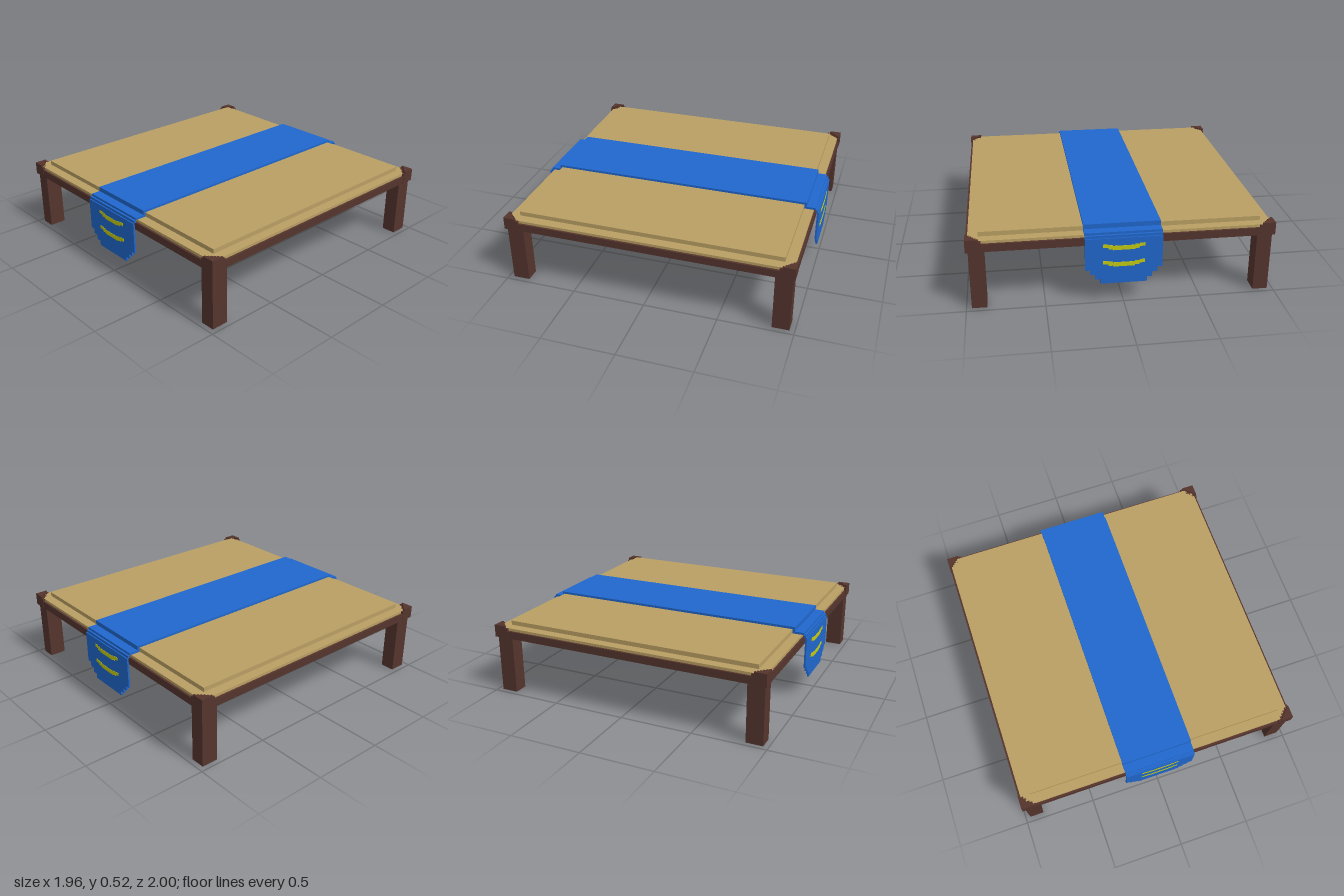
import * as THREE from 'three';

export function createModel() {
  const model = new THREE.Group();
  model.name = 'lowTable';

  const material = (name, color) => {
    const m = new THREE.MeshStandardMaterial({ color });
    m.name = name;
    return m;
  };
  const wood = material('darkWood', 0x55342d);
  const tan = material('tanTop', 0xba9f63);
  const blue = material('blueCloth', 0x2067cd);
  const yellow = material('yellowStitching', 0xc4cb12);

  // Box given by its low and high corner
  const box = (name, mat, [x0, y0, z0], [x1, y1, z1], parent = model) => {
    const mesh = new THREE.Mesh(new THREE.BoxGeometry(x1 - x0, y1 - y0, z1 - z0), mat);
    mesh.position.set((x0 + x1) / 2, (y0 + y1) / 2, (z0 + z1) / 2);
    mesh.name = name;
    parent.add(mesh);
    return mesh;
  };

  const X = 0.98, Z = 0.976, rim = 0.014;

  // Table top: lower slab with a raised panel
  box('tableTop', tan, [-X + rim, 0.4, -Z + rim], [X - rim, 0.47, Z - rim]);
  box('raisedPanel', tan, [-0.9, 0.47, -0.897], [0.9, 0.5, 0.897]);

  // Thin rim around the slab
  for (const s of [-1, 1]) {
    const side = box('sideRim', wood, [-rim / 2, 0.4, -Z], [rim / 2, 0.452, Z]);
    side.position.x = s * (X - rim / 2);
    const end = box('endRim', wood, [-X + rim, 0.4, -rim / 2], [X - rim, 0.452, rim / 2]);
    end.position.z = s * (Z - rim / 2);
  }

  // Stepped triangular corner layer, its right angle at the origin
  const cornerLayer = (size, y0, y1) => {
    const steps = 6, d = size / steps;
    const shape = new THREE.Shape();
    shape.moveTo(0, 0);
    for (let i = 0; i < steps; i++) {
      shape.lineTo(size - i * d, i * d);
      shape.lineTo(size - i * d, (i + 1) * d);
    }
    shape.lineTo(0, size);
    const geometry = new THREE.ExtrudeGeometry(shape, { depth: y1 - y0, bevelEnabled: false });
    geometry.rotateX(-Math.PI / 2);
    geometry.translate(0, y0, 0);
    return geometry;
  };
  const layers = [cornerLayer(0.1, 0.4, 0.47), cornerLayer(0.083, 0.47, 0.485)];

  // Corner caps and legs
  for (const sx of [-1, 1]) {
    for (const sz of [-1, 1]) {
      const cap = new THREE.Group();
      cap.name = 'cornerCap';
      for (const geometry of layers) cap.add(new THREE.Mesh(geometry, wood));
      cap.position.set(sx * (X + 0.002), 0, sz * (Z + 0.002));
      // Quarter turns bring the right angle to each outer corner
      if (sx < 0) cap.rotation.y = sz > 0 ? 0 : -Math.PI / 2;
      else cap.rotation.y = sz > 0 ? Math.PI / 2 : Math.PI;
      model.add(cap);

      const leg = box('leg', wood, [-0.049, 0, -0.057], [0.049, 0.4, 0.057]);
      leg.position.x = sx * 0.917;
      leg.position.z = sz * 0.908;
    }
  }

  // Cloth runner along the middle
  const w = 0.247;
  box('runner', blue, [-w, 0.5, -0.913], [w, 0.516, 0.913]);

  // Hanging end with a stepped hem
  const hem = new THREE.Shape();
  const half = [[0.15, 0.135], [0.15, 0.168], [0.183, 0.168], [0.183, 0.202],
    [0.216, 0.202], [0.216, 0.235], [w, 0.235], [w, 0.452]];
  hem.setFromPoints([
    ...half.map(([x, y]) => new THREE.Vector2(x, y)),
    ...half.slice().reverse().map(([x, y]) => new THREE.Vector2(-x, y)),
  ]);
  const hemGeometry = new THREE.ExtrudeGeometry(hem, { depth: 0.012, bevelEnabled: false });

  // Curved stitching: widths and heights of its blocks
  const bars = [[0, 0.07, 0.37, 0.4], [0.07, 0.1, 0.377, 0.406],
    [0.1, 0.115, 0.388, 0.412], [0.115, 0.133, 0.39, 0.412]];

  for (const turn of [0, Math.PI]) {
    const end = new THREE.Group();
    end.name = 'clothEnd';
    box('clothRiser', blue, [-w, 0.47, 0.897], [w, 0.5, 0.913], end);
    box('clothLedge', blue, [-w, 0.47, 0.913], [w, 0.485, 0.976], end);
    box('clothFold', blue, [-w, 0.452, 0.976], [w, 0.47, 0.99], end);
    const drape = new THREE.Mesh(hemGeometry, blue);
    drape.name = 'clothDrape';
    drape.position.z = 0.986;
    end.add(drape);

    // Stitching shows on both faces of the drape
    for (const drop of [0, 0.116]) {
      for (const [x0, x1, y0, y1] of bars) {
        for (const z of [0.984, 0.998]) {
          const lo = y0 - drop, hi = y1 - drop;
          if (x0 === 0) {
            box('stitching', yellow, [-x1, lo, z], [x1, hi, z + 0.002], end);
          } else {
            box('stitching', yellow, [x0, lo, z], [x1, hi, z + 0.002], end);
            box('stitching', yellow, [-x1, lo, z], [-x0, hi, z + 0.002], end);
          }
        }
      }
    }
    end.rotation.y = turn;
    model.add(end);
  }
  return model;
}
